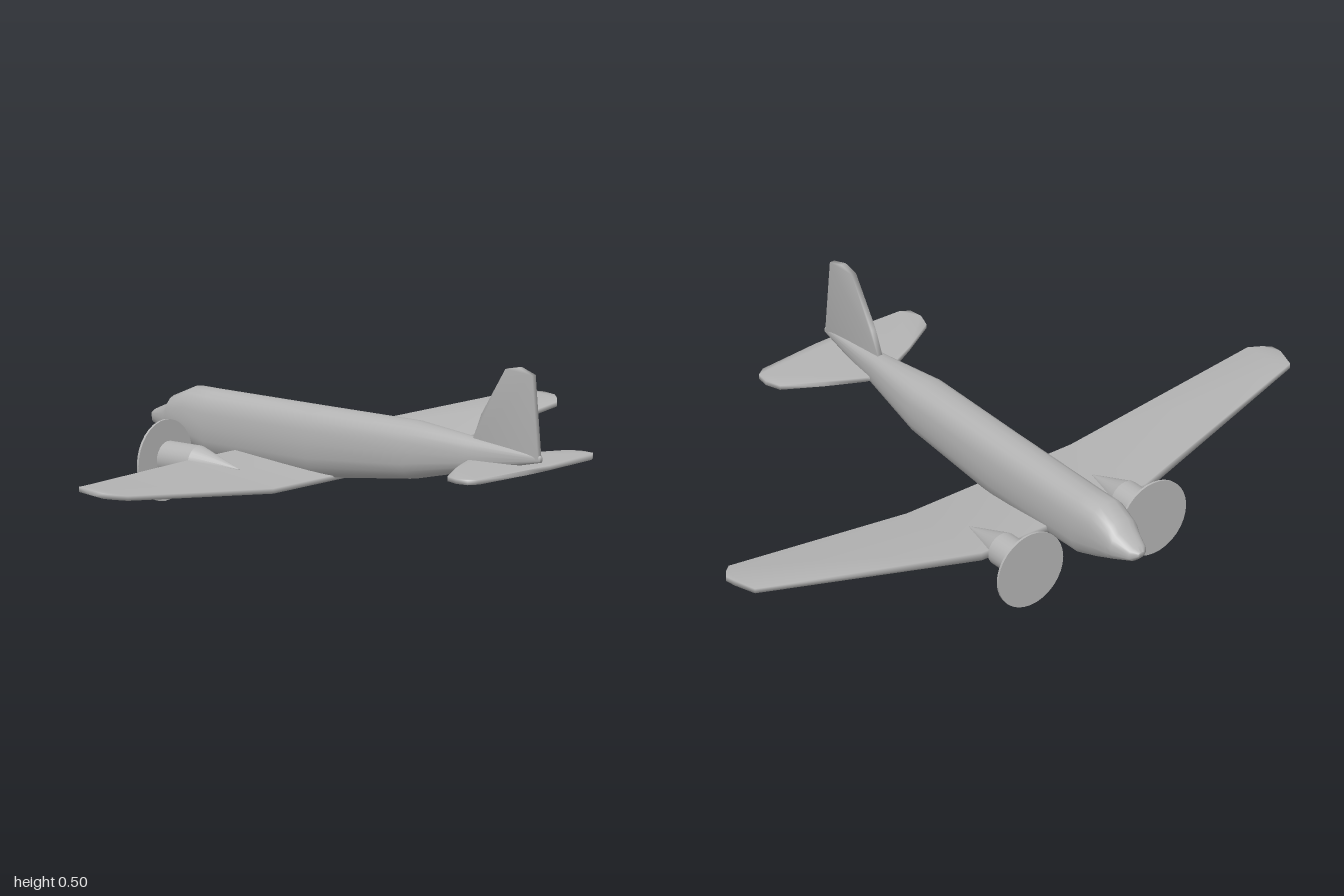
import * as THREE from 'three';
import { mergeVertices } from 'three/addons/utils/BufferGeometryUtils.js';

// Smooth skin over closed rings of equal length, capped at both ends.
function loft(rings) {
  const n = rings[0].length, index = [];
  for (let i = 0; i < rings.length - 1; i++) {
    for (let j = 0; j < n; j++) {
      const a = i * n + j, b = i * n + (j + 1) % n;
      index.push(a, b, b + n, a, b + n, a + n);
    }
  }
  const last = (rings.length - 1) * n;
  for (let j = 1; j < n - 1; j++) {
    index.push(0, j + 1, j, last, last + j, last + j + 1);
  }
  const g = new THREE.BufferGeometry();
  g.setAttribute('position', new THREE.Float32BufferAttribute(rings.flat(2), 3));
  g.setIndex(index);
  g.computeVertexNormals();
  return g;
}

// Thin plate cut from an outline, softly shaded over its rim.
function plate(outline, thickness) {
  const shape = new THREE.Shape(outline.map(([x, y]) => new THREE.Vector2(x, y)));
  let g = new THREE.ExtrudeGeometry(shape, { depth: thickness, bevelEnabled: false });
  g.translate(0, 0, -thickness / 2);
  g.deleteAttribute('uv');
  g.deleteAttribute('normal');
  g = mergeVertices(g);
  g.computeVertexNormals();
  return g;
}

export function createModel() {
  const group = new THREE.Group();
  group.name = 'airplane';
  const grey = new THREE.MeshStandardMaterial({ color: 0xb4b4b4 });
  grey.name = 'plain grey';
  const add = (name, geometry, x = 0, y = 0, z = 0, parent = group) => {
    const mesh = new THREE.Mesh(geometry, grey);
    mesh.name = name;
    mesh.position.set(x, y, z);
    parent.add(mesh);
    return mesh;
  };

  // Fuselage: x, bottom, top, half width
  const stations = [
    [-0.73, 0.188, 0.203, 0.012], [-0.712, 0.17, 0.214, 0.032],
    [-0.655, 0.15, 0.24, 0.054], [-0.638, 0.143, 0.264, 0.06],
    [-0.57, 0.117, 0.295, 0.07], [-0.49, 0.09, 0.295, 0.07],
    [-0.1, 0.085, 0.295, 0.07], [0.26, 0.126, 0.295, 0.07],
    [0.48, 0.175, 0.274, 0.037], [0.73, 0.23, 0.249, 0.006],
  ];
  const soften = (v) => Math.sign(v) * Math.abs(v) ** 0.8;
  add('fuselage', loft(stations.map(([x, bottom, top, half]) =>
    Array.from({ length: 20 }, (_, i) => {
      const a = i / 20 * Math.PI * 2;
      return [x, (bottom + top) / 2 + soften(Math.cos(a)) * (top - bottom) / 2,
        soften(Math.sin(a)) * half];
    }))));

  // Wing: z, leading x, trailing x, leading bottom/top y, trailing bottom/top y
  const half = [
    [0, -0.37, -0.025, 0.115, 0.141, 0.09, 0.105],
    [0.3, -0.37, -0.025, 0.115, 0.141, 0.09, 0.105],
    [0.95, -0.188, -0.02, 0.172, 0.187, 0.164, 0.178],
    [0.98, -0.18, -0.045, 0.175, 0.19, 0.168, 0.182],
    [1.0, -0.11, -0.07, 0.175, 0.19, 0.171, 0.186],
  ];
  const span = [...half.slice(1).reverse().map(([z, ...r]) => [-z, ...r]), ...half];
  add('wing', loft(span.map(([z, lead, trail, lb, lt, tb, tt]) =>
    [[lead, lb, z], [trail, tb, z], [trail, tt, z], [lead, lt, z]])));

  // Tail fin
  add('tailFin', plate([[0.475, 0.26], [0.725, 0.235], [0.703, 0.483],
    [0.65, 0.5], [0.602, 0.49], [0.51, 0.345]], 0.016));

  // Tailplane: one side mirrored into a full outline, then laid flat
  const side = [[0.48, 0.02], [0.485, 0.045], [0.54, 0.155], [0.605, 0.268],
    [0.65, 0.284], [0.69, 0.278], [0.708, 0.25], [0.72, 0.05]];
  const outline = [...side, ...side.map(([x, z]) => [x, -z]).reverse()];
  add('tailplane', plate(outline, 0.014).rotateX(-Math.PI / 2), 0, 0.207, 0);

  // Engines with tapering tails and propeller discs
  for (const s of [1, -1]) {
    const engine = new THREE.Group();
    engine.name = s > 0 ? 'frontEngine' : 'rearEngine';
    engine.position.set(0, 0.126, s * 0.225);
    group.add(engine);
    add('engineCowl', new THREE.CylinderGeometry(0.051, 0.051, 0.115, 24).rotateZ(-Math.PI / 2),
      -0.4275, 0, 0, engine);
    add('engineTail', new THREE.ConeGeometry(0.051, 0.155, 24).rotateZ(-Math.PI / 2),
      -0.2925, 0, 0, engine);
    add('propellerDisc', new THREE.CylinderGeometry(0.119, 0.119, 0.007, 32).rotateZ(-Math.PI / 2),
      -0.499, -0.007, 0, engine);
    add('propellerShaft', new THREE.CylinderGeometry(0.008, 0.008, 0.02, 12).rotateZ(-Math.PI / 2),
      -0.489, 0, 0, engine);
  }
  return group;
}
